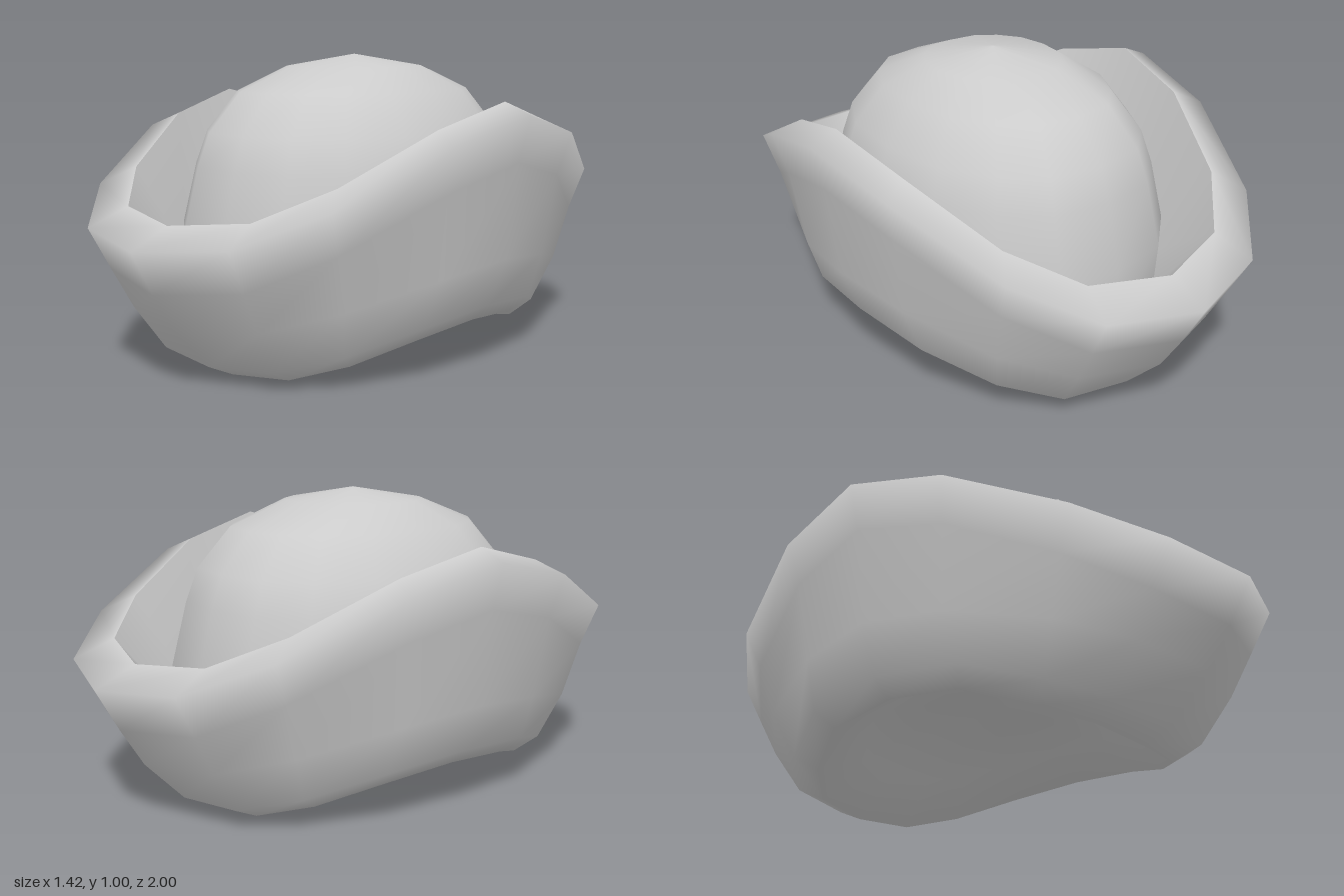
import * as THREE from 'three';

// Quarter of the 16-sided plan, from front to side (unit x, unit z):
// pointed for the brim, rounder for the crown and hem
const POINTED = [[0, 1], [0.437, 0.91], [0.718, 0.7], [0.93, 0.34], [1, 0]];
const ROUND = [[0, 1], [0.425, 0.95], [0.71, 0.75], [0.935, 0.43], [1, 0]];
const SIDES = 16;

// Plan point i, mirrored into all four quarters
function planPoint(i, plan) {
  const q = Math.floor(i / 4), k = i % 4;
  const [x, z] = plan[q % 2 ? 4 - k : k];
  return [x * (q < 2 ? 1 : -1), z * (q === 0 || q === 3 ? 1 : -1)];
}

// Skin oval rings: [side x, side y, front z, front y, bend, plan], with y
// moving from its front value to its side value round the oval
function ovalSkin(name, rings, material) {
  const pos = [], index = [];
  for (const [sx, sy, fz, fy, bend = 2, plan = ROUND] of rings) {
    for (let i = 0; i < SIDES; i++) {
      const [u, v] = planPoint(i, plan);
      pos.push(u * sx, fy + (sy - fy) * Math.abs(u) ** bend, v * fz);
    }
  }
  for (let r = 0; r < rings.length - 1; r++) {
    for (let i = 0; i < SIDES; i++) {
      const n = (i + 1) % SIDES;
      const a = r * SIDES + i, b = r * SIDES + n;
      const c = a + SIDES, d = b + SIDES;
      if (rings[r][0] > 0) index.push(a, b, d);
      if (rings[r + 1][0] > 0) index.push(a, d, c);
    }
  }
  const geometry = new THREE.BufferGeometry();
  geometry.setAttribute('position', new THREE.Float32BufferAttribute(pos, 3));
  geometry.setIndex(index);
  geometry.computeVertexNormals();
  const mesh = new THREE.Mesh(geometry, material);
  mesh.name = name;
  return mesh;
}

export function createModel() {
  const group = new THREE.Group();
  group.name = 'hat';
  const felt = new THREE.MeshStandardMaterial({ color: 0xcccccc, side: THREE.DoubleSide });
  const rimEdge = [0.615, 0.86, 0.86, 0.51, 3.2, POINTED];

  // Shallow domed underside, hem, outer wall and thick rim in one smooth skin
  group.add(ovalSkin('brim', [
    [0, 0.27, 0, 0.27],
    [0.2, 0.26, 0.24, 0.24],
    [0.37, 0.22, 0.44, 0.13],
    [0.505, 0.145, 0.6, 0.0, 2.7],
    [0.565, 0.2, 0.7, 0.045, 2.7],
    [0.63, 0.36, 0.84, 0.185, 2.5, POINTED],
    [0.67, 0.67, 0.92, 0.31, 3, POINTED],
    [0.71, 0.82, 1.0, 0.45, 3.2, POINTED],
    rimEdge,
  ], felt));

  // Inner wall, from the sharp rim edge down to the crown
  group.add(ovalSkin('brimInside', [
    rimEdge,
    [0.49, 0.38, 0.62, 0.24],
  ], felt));

  // Rounded crown
  group.add(ovalSkin('crown', [
    [0.49, 0.36, 0.62, 0.22],
    [0.495, 0.47, 0.635, 0.42],
    [0.465, 0.64, 0.58, 0.64],
    [0.43, 0.75, 0.54, 0.75],
    [0.34, 0.88, 0.43, 0.88],
    [0.22, 0.96, 0.23, 0.96],
    [0, 1, 0, 1],
  ], felt));

  return group;
}
